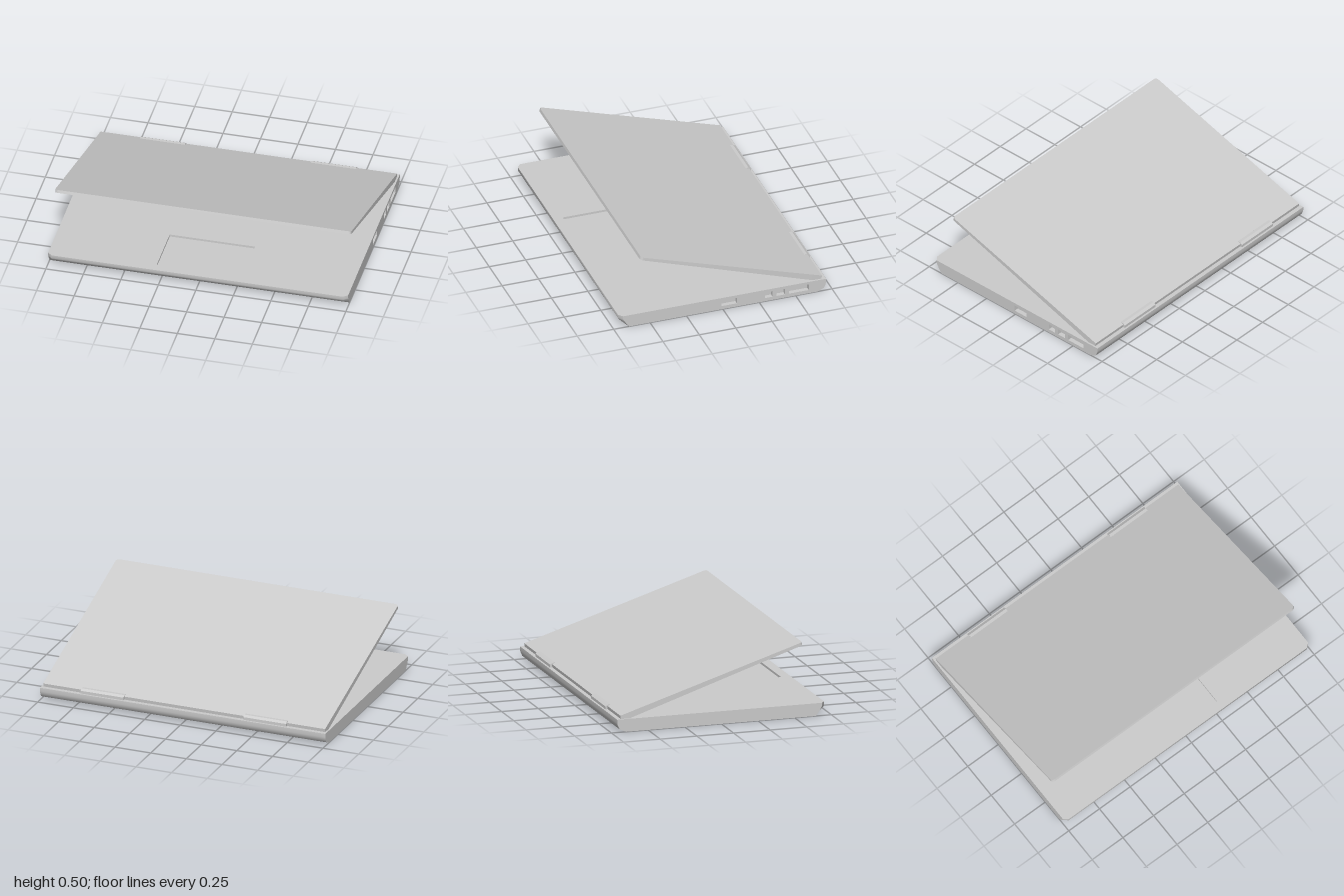
import * as THREE from 'three';
import { toCreasedNormals } from 'three/addons/utils/BufferGeometryUtils.js';

const grey = new THREE.MeshStandardMaterial({ color: 0xcccccc });
const TOP = 0.085;

function add(group, name, geometry) {
  const mesh = new THREE.Mesh(geometry, grey);
  mesh.name = name;
  group.add(mesh);
  return mesh;
}

const polygon = (points) => new THREE.Shape(points.map(([x, y]) => new THREE.Vector2(x, y)));

function rectHole(x0, x1, y0, y1) {
  return new THREE.Path([[x0, y0], [x0, y1], [x1, y1], [x1, y0]].map(([x, y]) => new THREE.Vector2(x, y)));
}

// Inward-facing box with one face left open
function recess(w, h, d, openFace) {
  const box = new THREE.BoxGeometry(w, h, d);
  box.setIndex(Array.from(box.index.array).filter((_, i) => Math.floor(i / 6) !== openFace));
  const geometry = box.toNonIndexed().scale(-1, 1, 1);
  const p = geometry.attributes.position;
  // swap two corners of each triangle so the mirrored winding is explicit
  geometry.computeVertexNormals();
  p.needsUpdate = true;
  return geometry;
}

// Base outline as [z, y], from the front top edge under to the back top edge
const profile = [
  [0.71, TOP], [0.71, 0.062], [0.704, 0.05], [0.645, 0],
  [-0.65, 0], [-0.694, 0.02], [-0.706, 0.045], [-0.71, 0.06], [-0.71, TOP],
];
// The front corners are cut back at both ends
const endProfile = profile.map(([z, y]) => [z > 0.65 ? z - 0.025 : z, y]);

// Front, underside and back wrapped across the width
function baseBand() {
  const sections = [[-1, endProfile], [-0.97, profile], [0.97, profile], [1, endProfile]];
  const n = profile.length;
  const positions = [];
  const index = [];
  sections.forEach(([x, points], s) => {
    points.forEach(([z, y], i) => {
      positions.push(x, y, z);
      if (s < sections.length - 1 && i < n - 1) {
        const a = s * n + i;
        index.push(a, a + 1, a + n + 1, a, a + n + 1, a + n);
      }
    });
  });
  const geometry = new THREE.BufferGeometry();
  geometry.setAttribute('position', new THREE.Float32BufferAttribute(positions, 3));
  geometry.setIndex(index);
  return toCreasedNormals(geometry, 0.8);
}

function createBase() {
  const base = new THREE.Group();
  base.name = 'base';
  add(base, 'baseShell', baseBand());

  // Deck with the sunken touchpad
  const deck = polygon([[-1, 0.71], [-1, -0.685], [-0.97, -0.71], [0.97, -0.71], [1, -0.685], [1, 0.71]]);
  const pad = { w: 0.57, z0: 0.3, z1: 0.645, depth: 0.015 };
  deck.holes.push(rectHole(-pad.w / 2, pad.w / 2, -pad.z1, -pad.z0));
  add(base, 'deck', new THREE.ShapeGeometry(deck).rotateX(-Math.PI / 2).translate(0, TOP, 0));
  add(base, 'touchpad', recess(pad.w, pad.depth, pad.z1 - pad.z0, 2))
    .position.set(0, TOP - pad.depth / 2, (pad.z0 + pad.z1) / 2);

  // Plain side
  add(base, 'rightSide', new THREE.ShapeGeometry(polygon(endProfile)).rotateY(-Math.PI / 2).translate(-1, 0, 0));

  // Side with ports, each as [front z, back z]
  const side = polygon(endProfile.map(([z, y]) => [-z, y]));
  const ports = [[0.008, -0.096], [-0.288, -0.342], [-0.368, -0.426], [-0.456, -0.59]];
  const depth = 0.03;
  for (const [z0, z1] of ports) {
    side.holes.push(rectHole(-z0, -z1, 0.024, 0.066));
    add(base, 'port', recess(depth, 0.042, z0 - z1, 1)).position.set(1 - depth / 2, 0.045, (z0 + z1) / 2);
  }
  add(base, 'leftSide', new THREE.ShapeGeometry(side).rotateY(Math.PI / 2).translate(1, 0, 0));
  return base;
}

// Tapered lid: a rounded slab whose two faces are tilted to different slopes
function lidGeometry() {
  const w = 0.988, front = -0.556, back = 0.685, r = 0.025;
  const s = new THREE.Shape();
  s.moveTo(w, back);
  s.lineTo(-w, back);
  s.lineTo(-w, front + r);
  s.quadraticCurveTo(-w, front, -w + r, front);
  s.lineTo(w - r, front);
  s.quadraticCurveTo(w, front, w, front + r);
  s.closePath();
  const geometry = new THREE.ExtrudeGeometry(s, { depth: 1, bevelEnabled: false, curveSegments: 6 });
  geometry.rotateX(-Math.PI / 2);
  const p = geometry.attributes.position;
  for (let i = 0; i < p.count; i++) {
    const isTop = p.getY(i) > 0.5;
    const z = p.getZ(i) + (isTop ? 0 : 0.006);
    const y = isTop ? 0.498 + (z - 0.556) * 0.315 : 0.479 + (z - 0.562) * 0.333;
    p.setXYZ(i, p.getX(i), y, z);
  }
  return toCreasedNormals(geometry, 0.6);
}

export function createModel() {
  const model = new THREE.Group();
  model.name = 'laptop';
  model.add(createBase());
  add(model, 'lid', lidGeometry());

  // Hinge covers behind the lid
  const hinge = polygon([[0.65, 0.07], [0.697, 0.07], [0.697, 0.104], [0.68, 0.115], [0.66, 0.115], [0.65, 0.108]]);
  for (const x of [-0.72, 0.42]) {
    const geometry = new THREE.ExtrudeGeometry(hinge, { depth: 0.3, bevelEnabled: false });
    add(model, 'hinge', geometry.rotateY(Math.PI / 2).translate(x, 0, 0));
  }
  return model;
}
